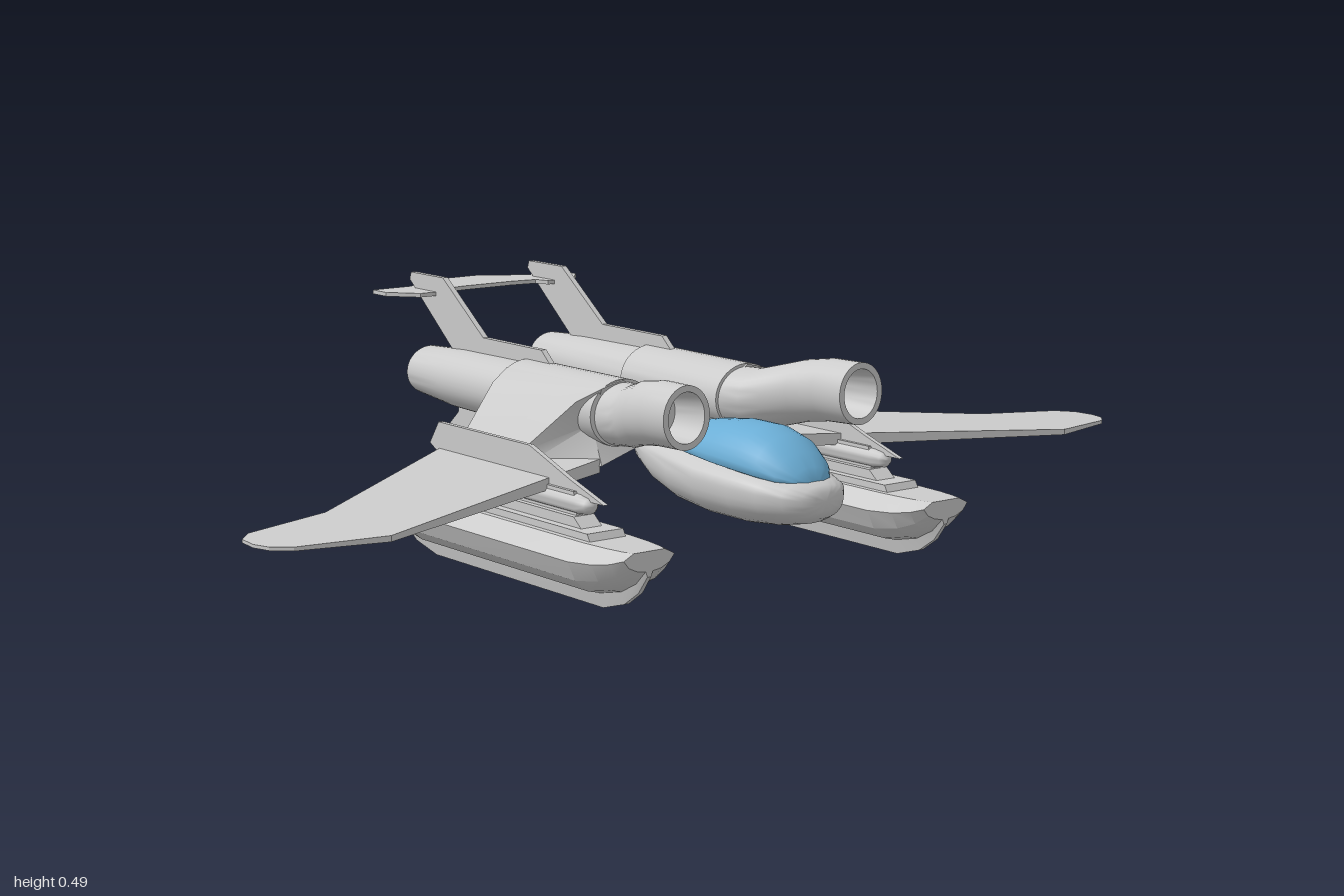
import * as THREE from 'three';
import { toCreasedNormals } from 'three/addons/utils/BufferGeometryUtils.js';

const grey = new THREE.MeshStandardMaterial({ color: 0xcccccc });
const thin = new THREE.MeshStandardMaterial({ color: 0xcccccc, side: THREE.DoubleSide });
const glass = new THREE.MeshStandardMaterial({ color: 0x6baed6 });

function part(parent, name, geometry, material = grey) {
  const mesh = new THREE.Mesh(geometry, material);
  mesh.name = name;
  parent.add(mesh);
  return mesh;
}

// Skin over rings of [x, y, z] points, ordered front to back, each counter-clockwise seen from +z
function loft(rings, crease = 0.6) {
  const n = rings[0].length, m = rings.length, pos = rings.flat(2), idx = [];
  for (let i = 0; i < m - 1; i++) {
    for (let j = 0; j < n; j++) {
      const a = i * n + j, b = i * n + (j + 1) % n;
      idx.push(a, a + n, b, b, a + n, b + n);
    }
  }
  [0, m - 1].forEach((r, end) => {
    const c = pos.length / 3;
    for (let k = 0; k < 3; k++) pos.push(rings[r].reduce((s, p) => s + p[k], 0) / n);
    for (let j = 0; j < n; j++) {
      const a = r * n + j, b = r * n + (j + 1) % n;
      end ? idx.push(c, b, a) : idx.push(c, a, b);
    }
  });
  const g = new THREE.BufferGeometry();
  g.setAttribute('position', new THREE.Float32BufferAttribute(pos, 3));
  g.setIndex(idx);
  return toCreasedNormals(g, crease);
}

// Oval ring with separate upper and lower heights; power < 1 makes it squarer
function oval([z, cx, cy, rx, up, down = up], power = 1, n = 36) {
  const f = v => Math.sign(v) * Math.abs(v) ** power;
  return Array.from({ length: n }, (_, j) => {
    const t = j / n * Math.PI * 2, s = Math.sin(t);
    return [cx + rx * f(Math.cos(t)), cy + (s > 0 ? up : down) * f(s), z];
  });
}

// Flat panels: upright from (z, y) points, level from (x, z) points
function panel(points, thickness) {
  const shape = new THREE.Shape(points.map(p => new THREE.Vector2(...p)));
  return new THREE.ExtrudeGeometry(shape, { depth: thickness, bevelEnabled: false })
    .translate(0, 0, -thickness / 2);
}
const upright = (points, t, x) => panel(points, t).rotateY(-Math.PI / 2).translate(x, 0, 0);
const level = (points, t, y) => panel(points, t).rotateX(Math.PI / 2).translate(0, y, 0);

// Block with a sloped front and back: [zFront, zBack, slope, halfWidth, yLow, yHigh]
function slopedBlock(x, [zf, zb, slope, w, y0, y1]) {
  return upright([[zf, y0], [zf - slope, y1], [zb + slope, y1], [zb, y0]], w * 2, x);
}

function buildCockpit(root) {
  const pod = new THREE.Group();
  pod.name = 'cockpitPod';
  root.add(pod);
  // z, centre x, centre y, half width, height up, height down
  part(pod, 'podHull', loft([
    [0.587, 0, 0.182, 0.025, 0.015, 0.02], [0.577, 0, 0.184, 0.05, 0.024, 0.037],
    [0.55, 0, 0.187, 0.075, 0.027, 0.053], [0.5, 0, 0.19, 0.096, 0.034, 0.066],
    [0.43, 0, 0.192, 0.104, 0.04, 0.075], [0.33, 0, 0.194, 0.104, 0.044, 0.077],
    [0.24, 0, 0.2, 0.094, 0.042, 0.075], [0.16, 0, 0.208, 0.078, 0.036, 0.062],
    [0.1, 0, 0.216, 0.058, 0.025, 0.04], [0.08, 0, 0.22, 0.03, 0.012, 0.02],
  ].map(s => oval(s, 0.85)), 1));
  part(pod, 'canopy', loft([
    [0.558, 0, 0.208, 0.02, 0.008, 0.01], [0.545, 0, 0.21, 0.045, 0.026, 0.01],
    [0.52, 0, 0.214, 0.066, 0.046, 0.01], [0.48, 0, 0.22, 0.082, 0.066, 0.01],
    [0.43, 0, 0.225, 0.089, 0.073, 0.01], [0.36, 0, 0.23, 0.09, 0.068, 0.01],
    [0.29, 0, 0.234, 0.083, 0.055, 0.01], [0.236, 0, 0.236, 0.07, 0.043, 0.01],
  ].map(s => oval(s)), 1), glass);
  part(pod, 'podSpine', loft([
    [0.236, 0, 0.236, 0.072, 0.043, 0.03], [0.16, 0, 0.232, 0.062, 0.03, 0.03],
    [0.1, 0, 0.226, 0.046, 0.018, 0.02], [0.08, 0, 0.222, 0.026, 0.008, 0.01],
  ].map(s => oval(s)), 1));
}

function buildEngine(side) {
  // Duct, body and tail pipe in one skin; the first and last rings form the hollow mouths
  part(side, 'engineNacelle', loft([
    [0.36, 0.2, 0.33, 0.034, 0.04], [0.445, 0.207, 0.334, 0.041, 0.047],
    [0.445, 0.207, 0.334, 0.053, 0.059], [0.37, 0.203, 0.332, 0.054, 0.06],
    [0.31, 0.193, 0.323, 0.055, 0.06], [0.26, 0.173, 0.309, 0.057, 0.06],
    [0.22, 0.154, 0.3, 0.06, 0.058], [0.18, 0.147, 0.297, 0.066, 0.06],
    [0.18, 0.149, 0.299, 0.074, 0.064], [-0.12, 0.152, 0.299, 0.076, 0.064],
    [-0.12, 0.152, 0.295, 0.072, 0.061], [-0.33, 0.152, 0.296, 0.066, 0.058],
    [-0.457, 0.151, 0.298, 0.056, 0.049], [-0.457, 0.151, 0.298, 0.045, 0.039],
    [-0.37, 0.151, 0.298, 0.038, 0.033],
  ].map(s => oval(s))));
  // Shoulder sloping from the nacelle to the wing, front outer corner cut away
  const profile = [[0.09, 0.24], [0.2, 0.205], [0.305, 0.195], [0.305, 0.225],
    [0.232, 0.325], [0.2, 0.35], [0.15, 0.362], [0.1, 0.33]];
  const front = profile.map(([x, y]) => [x, y, 0.185 - Math.max(0, x - 0.2) * 1.1]);
  const back = profile.map(([x, y]) => [x, y, -0.12]);
  part(side, 'wingShoulder', loft([front, back]));
}

function buildWing(side) {
  // Forward-swept wing, thinning and drooping toward the tip
  const outline = [[0.2, 0.18], [0.8, 0.395], [0.96, 0.345], [0.99, 0.315], [1, 0.28],
    [0.995, 0.235], [0.965, 0.205], [0.79, 0.17], [0.31, -0.15], [0.2, -0.1]];
  const g = level(outline, 1, 0), p = g.attributes.position;
  for (let i = 0; i < p.count; i++) {
    const t = (p.getX(i) - 0.2) / 0.8;
    p.setY(i, 0.205 - 0.024 * t + p.getY(i) * (0.026 - 0.02 * t));
  }
  g.computeVertexNormals();
  part(side, 'wing', g, thin);
  part(side, 'wingFence', upright([[0.4, 0.187], [0.3, 0.218], [0.175, 0.262], [-0.12, 0.262],
    [-0.15, 0.218], [-0.08, 0.18]], 0.01, 0.353), thin);
}

function buildFloat(side) {
  const x0 = 0.353, deck = 0.127;
  const half = [[0.006, 0.002], [0.012, 0.03], [0.04, 0.037], [0.068, 0.06], [0.085, 0.097], [0.052, deck]];
  const profile = [...half, ...half.map(([x, y]) => [-x, y]).reverse()];
  // z, width scale, depth scale
  const stations = [[0.525, 0.66, 0.37], [0.5, 0.8, 0.64], [0.46, 0.92, 0.86], [0.4, 1, 1],
    [-0.13, 1, 1], [-0.2, 0.88, 0.87], [-0.24, 0.77, 0.66], [-0.273, 0.64, 0.38]];
  part(side, 'floatHull', loft(stations.map(([z, w, d]) =>
    profile.map(([x, y]) => [x0 + x * w, deck - (deck - y) * d, z])), 0.45));
  part(side, 'pylonBase', slopedBlock(x0, [0.41, -0.1, 0.012, 0.04, 0.12, 0.14]));
  part(side, 'pylonStep', slopedBlock(x0, [0.36, -0.07, 0.025, 0.023, 0.138, 0.158]));
  part(side, 'pylonNeck', slopedBlock(x0, [0.33, -0.05, 0.01, 0.012, 0.155, 0.2]));
  part(side, 'pylonHead', loft([[0.365, 0.008], [0.355, 0.017], [0.33, 0.021], [-0.02, 0.021],
    [-0.1, 0.008]].map(([z, r]) => oval([z, x0, 0.178, r, r * 0.9], 1, 16)), 1));
}

function buildTailFins(side) {
  part(side, 'upperTailFin', upright([[-0.03, 0.345], [-0.04, 0.36], [-0.07, 0.386], [-0.265, 0.386],
    [-0.405, 0.49], [-0.52, 0.49], [-0.525, 0.475], [-0.375, 0.352], [-0.36, 0.33]], 0.012, 0.147), thin);
  part(side, 'lowerTailFin', upright([[-0.12, 0.245], [-0.22, 0.206], [-0.31, 0.15], [-0.4, 0.15],
    [-0.4, 0.185], [-0.355, 0.225], [-0.35, 0.25]], 0.012, 0.147), thin);
}

export function createModel() {
  const root = new THREE.Group();
  root.name = 'twinEngineFloatplane';
  buildCockpit(root);
  for (const s of [1, -1]) {
    const side = new THREE.Group();
    side.name = s > 0 ? 'leftSide' : 'rightSide';
    side.scale.x = s;
    [buildEngine, buildWing, buildFloat, buildTailFins].forEach(build => build(side));
    root.add(side);
  }
  // Level tailplane bridging both fins
  const half = [[0.06, -0.59], [0.145, -0.532], [0.237, -0.532], [0.237, -0.485], [0.19, -0.43],
    [0.125, -0.43], [0.115, -0.46], [0.06, -0.468]];
  const mirrored = half.map(([x, z]) => [-x, z]).reverse();
  part(root, 'tailplane', level([...half, ...mirrored], 0.008, 0.455), thin);
  return root;
}
